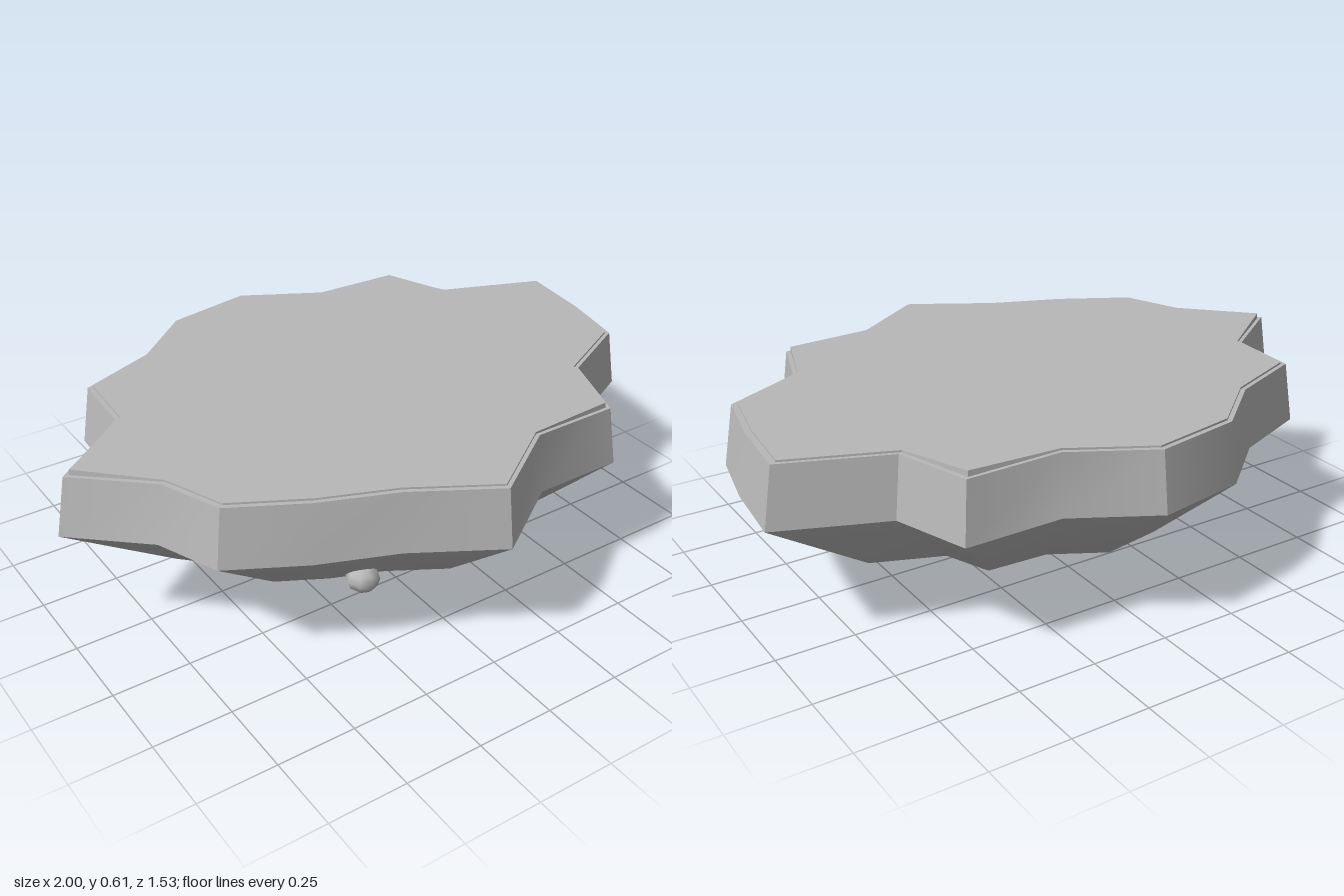
import * as THREE from 'three';
import { toCreasedNormals } from 'three/addons/utils/BufferGeometryUtils.js';

// Jagged island outline (x, z), clockwise from above, relative to the axis below
const OUTLINE = [
  [0.025, -0.765], [0.28, -0.625], [0.58, -0.61], [0.67, -0.39], [1.0, -0.26],
  [0.975, -0.015], [0.93, 0.205], [0.67, 0.335], [0.59, 0.575], [0.285, 0.59],
  [0.025, 0.765], [-0.24, 0.61], [-0.48, 0.515], [-0.71, 0.39], [-0.79, 0.19],
  [-1.0, -0.02], [-0.74, -0.21], [-0.725, -0.445], [-0.465, -0.545], [-0.265, -0.715],
];
const AXIS = [0.025, -0.015];
const LOW_CORNERS = [2, 8, 15]; // corners that sag slightly

// Stack scaled copies of the outline, bottom to top; scale 0 closes to a point
function loft(rings) {
  const n = OUTLINE.length;
  const positions = [];
  const point = ([scale, y, sag = 0], i) => {
    const [x, z] = OUTLINE[i % n];
    return [
      AXIS[0] + (x - AXIS[0]) * scale,
      y - (LOW_CORNERS.includes(i % n) ? sag : 0),
      AXIS[1] + (z - AXIS[1]) * scale,
    ];
  };
  for (let r = 0; r < rings.length - 1; r++) {
    const lower = rings[r], upper = rings[r + 1];
    for (let i = 0; i < n; i++) {
      const a = point(lower, i + 1), b = point(lower, i);
      const c = point(upper, i), d = point(upper, i + 1);
      if (lower[0] > 0) positions.push(...a, ...b, ...c);
      if (upper[0] > 0) positions.push(...(lower[0] > 0 ? a : b), ...c, ...d);
    }
  }
  const geometry = new THREE.BufferGeometry();
  geometry.setAttribute('position', new THREE.Float32BufferAttribute(positions, 3));
  return toCreasedNormals(geometry, 0.61);
}

export function createModel() {
  const group = new THREE.Group();
  group.name = 'floatingIsland';
  const stone = new THREE.MeshStandardMaterial({ color: 0xb8b8b8 });
  stone.name = 'grey stone';

  const add = (name, geometry) => {
    const mesh = new THREE.Mesh(geometry, stone);
    mesh.name = name;
    group.add(mesh);
    return mesh;
  };

  // Tapered rock with a steep cliff band and a narrow rim
  add('islandRock', loft([
    [0, 0], [0.65, 0.175], [1, 0.413, 0.012], [0.965, 0.603, 0.012], [0.93, 0.603, 0.012],
  ]));

  // Flat ground, raised slightly above the rim
  add('groundTop', loft([[0.947, 0.585], [0.945, 0.609], [0, 0.609]]));

  // Boulders embedded in the underside: position, then radii
  const boulders = [
    [[-0.24, 0.205, 0.41], [0.053, 0.047, 0.053]],
    [[0.405, 0.14, 0.25], [0.075, 0.057, 0.055]],
    [[-0.605, 0.265, -0.29], [0.055, 0.05, 0.055]],
    [[0.575, 0.3, -0.26], [0.045, 0.045, 0.045]],
  ];
  const boulderGeometry = new THREE.SphereGeometry(1, 8, 6);
  for (const [position, radii] of boulders) {
    const boulder = add('boulder', boulderGeometry);
    boulder.position.set(...position);
    boulder.scale.set(...radii);
  }
  return group;
}
